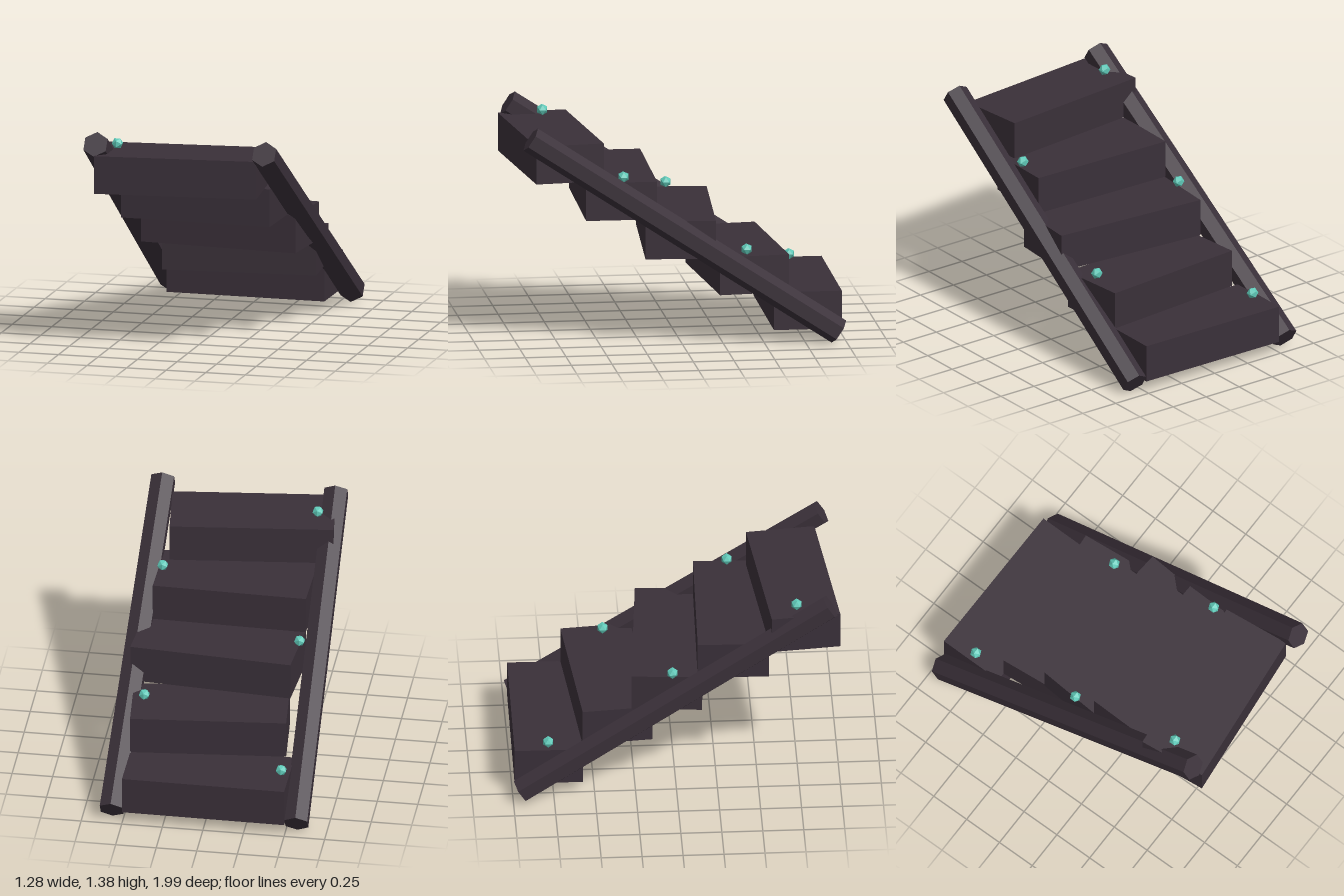
import * as THREE from 'three';

export function createModel() {
  const group = new THREE.Group();
  group.name = 'staircase';

  const stone = new THREE.MeshStandardMaterial({ color: 0x3a3039, flatShading: true });
  stone.name = 'dark stone';
  const glow = new THREE.MeshStandardMaterial({ color: 0x5fc9b8, flatShading: true });
  glow.name = 'teal crystal';

  const add = (name, geometry, material, x, y, z) => {
    const mesh = new THREE.Mesh(geometry, material);
    mesh.name = name;
    mesh.position.set(x, y, z);
    group.add(mesh);
    return mesh;
  };

  // Uneven step blocks, lowest first: x, z, width, depth, yaw
  const steps = [
    [0, -0.775, 1.0, 0.417, -0.008],
    [0.045, -0.398, 0.953, 0.43, 0.09],
    [0.052, -0.02, 1.0, 0.43, -0.075],
    [0.003, 0.36, 0.947, 0.435, -0.023],
    [-0.05, 0.736, 1.0, 0.422, 0.105],
  ];
  const rise = 0.236;
  steps.forEach(([x, z, width, depth, yaw], i) => {
    const y = 0.19 + i * rise;
    const block = new THREE.BoxGeometry(width, 0.235, depth);
    add('step' + (i + 1), block, stone, x, y, z).rotation.y = yaw;

    // Small crystal on alternating ends of the steps
    const side = i % 2 ? 1 : -1;
    add('crystal' + (i + 1), new THREE.IcosahedronGeometry(0.036, 0), glow,
      side * 0.45, y + 0.147, -0.78 + i * 0.379);
  });

  // Hexagonal side rails, leaning slightly together towards the top
  for (const side of [-1, 1]) {
    const low = new THREE.Vector3(side * 0.569, 0.068, -0.952);
    const high = new THREE.Vector3(side * 0.533, 1.312, 0.938);
    const along = high.clone().sub(low);
    const length = along.length();
    along.normalize();
    const across = new THREE.Vector3(0, along.z, -along.y).cross(along).normalize().negate();
    const out = across.clone().cross(along).normalize();
    const mid = low.clone().add(high).multiplyScalar(0.5);
    const rail = add(side > 0 ? 'leftRail' : 'rightRail',
      new THREE.CylinderGeometry(0.081, 0.081, length, 6), stone, mid.x, mid.y, mid.z);
    rail.quaternion.setFromRotationMatrix(new THREE.Matrix4().makeBasis(across, along, out));
  }

  return group;
}
